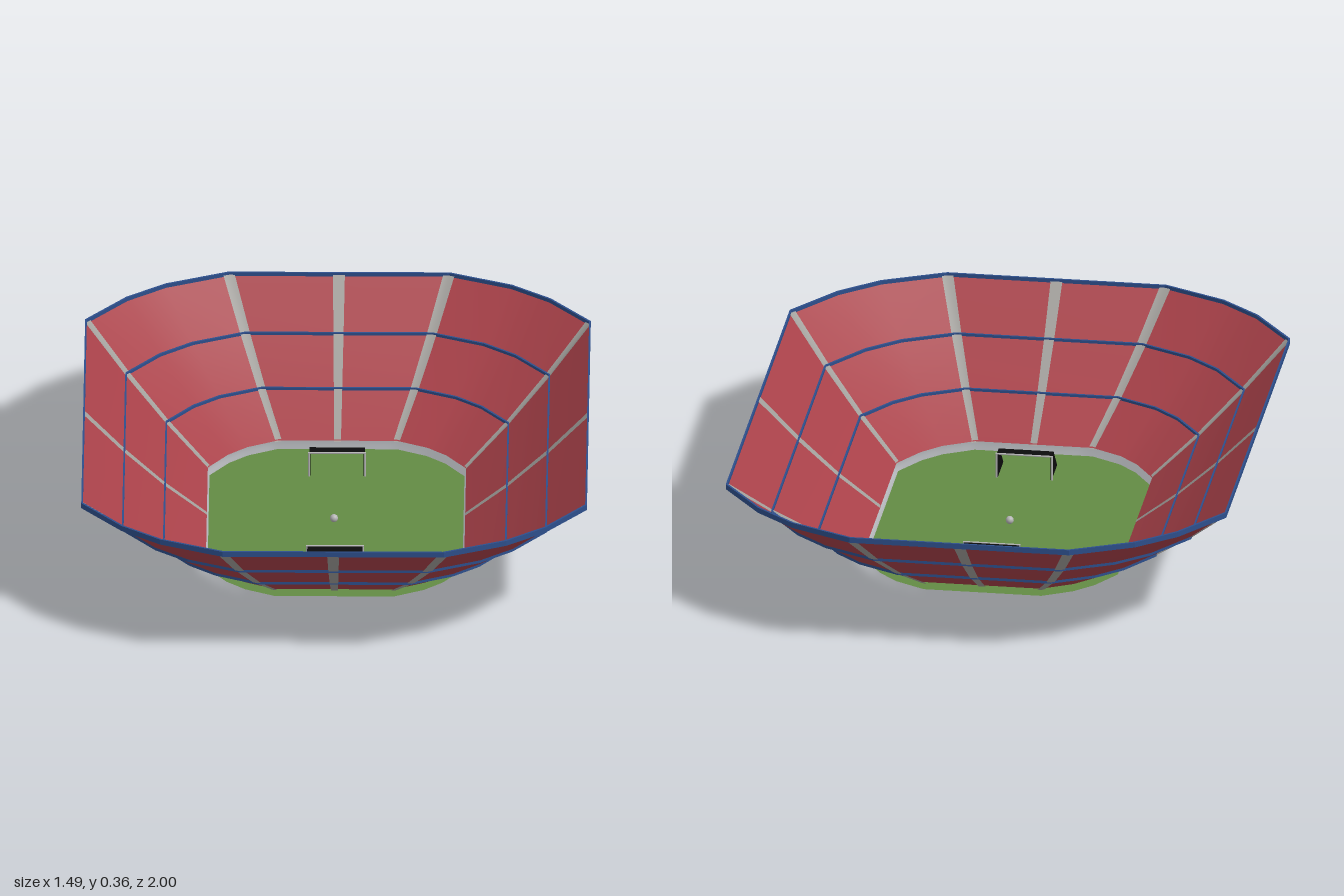
import * as THREE from 'three';

const mat = (name, color, side = THREE.FrontSide) => {
  const m = new THREE.MeshStandardMaterial({ color, side });
  m.name = name;
  return m;
};

// Surface through rows of points
function grid(rows, flat = false) {
  const n = rows[0].length, index = [];
  for (let r = 0; r < rows.length - 1; r++)
    for (let c = 0; c < n - 1; c++) {
      const a = r * n + c, b = a + n;
      index.push(a, a + 1, b, a + 1, b + 1, b);
    }
  let g = new THREE.BufferGeometry().setFromPoints(rows.flat());
  g.setIndex(index);
  if (flat) g = g.toNonIndexed();
  g.computeVertexNormals();
  return g;
}

// Rounded-corner outline of 20 points; t = 0 at the pitch, 1 at the rim
const ARC = [[1, 0], [0.714, 0.47], [0.44, 0.75], [0, 1]];
function outline(t, y, inset = 0) {
  const L = THREE.MathUtils.lerp;
  const hx = L(0.38, 0.742, t) - inset, hz = L(0.53, 0.998, t) - inset;
  const sx = L(0.175, 0.325, t), sz = L(0.335, 0.655, t);
  const corner = ARC.map(([u, v]) => [sx + (hx - sx) * u, sz + (hz - sz) * v]);
  const back = [...corner].reverse();
  const side = (list, kx, kz) => list.map(([x, z]) => [x * kx, z * kz]);
  return [
    [hx, 0], ...side(corner, 1, 1), [0, hz], ...side(back, -1, 1),
    [-hx, 0], ...side(corner, -1, -1), [0, -hz], ...side(back, 1, -1),
  ].map(([x, z]) => new THREE.Vector3(x, y, z));
}

// Stand profile: fraction outward and height
const PROFILE = [[0, 0.028], [0.34, 0.122], [0.67, 0.23], [1, 0.352]];

export function createModel() {
  const red = mat('seatRed', 0xa84149, THREE.DoubleSide);
  const grey = mat('aisleGrey', 0xa09e9a, THREE.DoubleSide);
  const blue = mat('railBlue', 0x2d4f8c, THREE.DoubleSide);
  const green = mat('grassGreen', 0x638b44, THREE.DoubleSide);
  const black = mat('netBlack', 0x0b0b0c);
  const silver = mat('frameSilver', 0xb4b4b4);

  const model = new THREE.Group();
  model.name = 'stadium';
  const add = (parent, name, geometry, material) => {
    const mesh = new THREE.Mesh(geometry, material);
    mesh.name = name;
    parent.add(mesh);
    return mesh;
  };

  const rings = PROFILE.map(([t, y]) => outline(t, y));

  // Stands: four smooth corners and four straight sides
  for (let q = 0; q < 4; q++) {
    const s = q * 5;
    add(model, 'cornerStand', grid(rings.map(r => r.slice(s + 1, s + 5))), red);
    add(model, 'sideStand', grid(rings.map(r => [4, 5, 6].map(i => r[(s + i) % 20]))), red);
  }

  // Aisles: thin strips on both faces, folded where the wall bends
  for (let q = 0; q < 4; q++)
    for (const k of [0, 1, 4]) {
      const i = q * 5 + k;
      for (const lift of [-0.004, 0.004]) {
        const rows = rings.map((r, j) => {
          const w = 0.01 + 0.0025 * j, p = r[i];
          const toward = m => r[(m + 20) % 20].clone().sub(p).setLength(w).add(p);
          return [toward(i - 1), p.clone(), toward(i + 1)].map(v => v.setY(v.y + lift));
        });
        add(model, 'aisle', grid(rows), grey);
      }
    }

  // Rails: small rectangular bands around each tier and the rim
  for (const [t, y, h] of [[0.34, 0.122, 0.006], [0.67, 0.23, 0.006], [0.998, 0.352, 0.008]]) {
    const d = 0.007;
    const section = [[-d, -h], [d, -h], [d, h], [-d, h], [-d, -h]];
    const rows = section.map(([dt, dy]) => {
      const r = outline(t + dt, y + dy);
      return [...r, r[0].clone()];
    });
    add(model, 'rail', grid(rows, true), blue);
  }

  // Pitch: flat field just inside and below the stands
  const field = new THREE.Shape(outline(0, 0, 0.005).map(p => new THREE.Vector2(p.x, -p.z)));
  const pitch = add(model, 'pitch', new THREE.ShapeGeometry(field), green);
  pitch.rotation.x = -Math.PI / 2;
  pitch.position.y = 0.003;

  // Ball at the centre spot
  add(model, 'ball', new THREE.SphereGeometry(0.012, 16, 12), silver).position.set(-0.006, 0.015, -0.006);

  // Goals: net with slanted back, wedge sides and a round frame
  const W = 0.08, H = 0.078;
  const netLine = [[0.335, H], [0.372, H], [0.448, 0.002]];
  for (const turn of [0, Math.PI]) {
    const goal = new THREE.Group();
    goal.name = 'goal';
    goal.rotation.y = turn;
    model.add(goal);
    add(goal, 'net', grid([-W, W].map(x => netLine.map(([z, y]) => new THREE.Vector3(x, y, z))), true), black);

    const wedge = new THREE.Shape([...netLine, [0.335, 0.002]].map(([z, y]) => new THREE.Vector2(-z, y)));
    for (const s of [-1, 1]) {
      const panel = add(goal, 'sideNet',
        new THREE.ExtrudeGeometry(wedge, { depth: 0.003, bevelEnabled: false }), black);
      panel.rotation.y = Math.PI / 2;
      panel.position.x = s * W - 0.0015;
      const post = add(goal, 'post', new THREE.CylinderGeometry(0.003, 0.003, H, 8), silver);
      post.position.set(s * (W + 0.002), H / 2, 0.332);
    }
    const bar = add(goal, 'crossbar', new THREE.CylinderGeometry(0.003, 0.003, 2 * W + 0.01, 8), silver);
    bar.rotation.z = Math.PI / 2;
    bar.position.set(0, H, 0.332);
  }

  return model;
}
